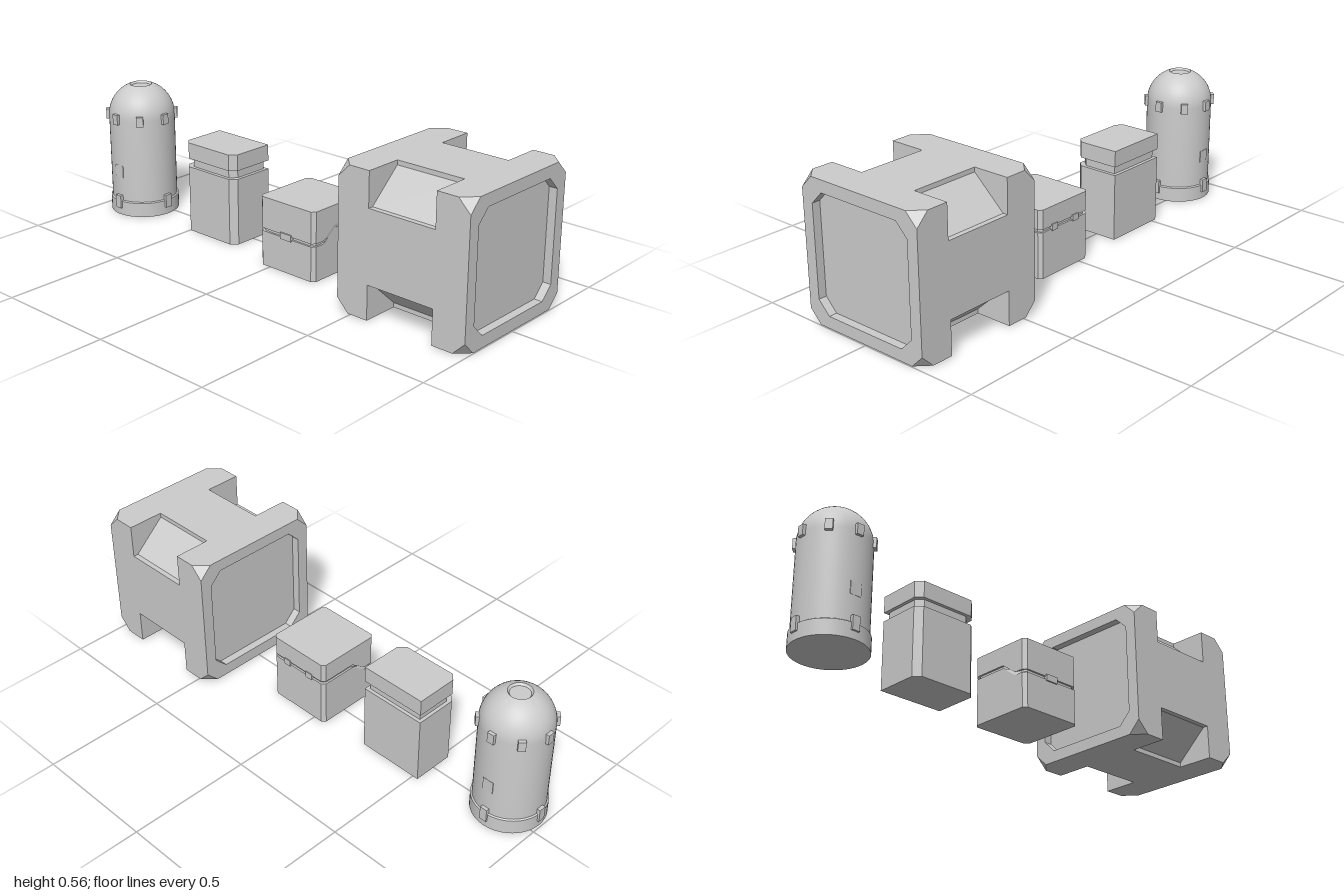
import * as THREE from 'three';
import { toCreasedNormals } from 'three/addons/utils/BufferGeometryUtils.js';

const grey = new THREE.MeshStandardMaterial({ color: 0xcccccc });

function add(parent, name, geometry, x = 0, y = 0, z = 0) {
  const mesh = new THREE.Mesh(geometry, grey);
  mesh.name = name;
  mesh.position.set(x, y, z);
  parent.add(mesh);
  return mesh;
}

function group(parent, name, x, y, z) {
  const g = new THREE.Group();
  g.name = name;
  g.position.set(x, y, z);
  parent.add(g);
  return g;
}

const shapeOf = (pts) => new THREE.Shape(pts.map(([x, y]) => new THREE.Vector2(x, y)));
const extrude = (shape, depth) => new THREE.ExtrudeGeometry(shape, { depth, bevelEnabled: false });

// Square outline with all four corners cut
const octagon = (h, c) => [[h, -h + c], [h, h - c], [h - c, h], [-h + c, h],
  [-h, h - c], [-h, -h + c], [-h + c, -h], [h - c, -h]];

// Upright prism from a footprint of [x, z] points
function prism(footprint, y0, y1) {
  const g = extrude(shapeOf(footprint.map(([x, z]) => [x, -z])), y1 - y0);
  g.rotateX(-Math.PI / 2);
  g.translate(0, y0, 0);
  return g;
}

// Domed canister with base ring, clips and label plates
function buildCanister(root) {
  const can = group(root, 'canister', -0.85, 0, 0.042);
  const profile = [[0, 0], [0.142, 0], [0.142, 0.06], [0.136, 0.064], [0.136, 0.412]];
  const r = 0.136, end = Math.acos(0.045 / r);
  for (let i = 1; i <= 12; i++) {
    const a = (end * i) / 12;
    profile.push([r * Math.cos(a), 0.412 + r * Math.sin(a)]);
  }
  profile.push([0.038, 0.532], [0, 0.532]);
  const lathe = new THREE.LatheGeometry(profile.map(([x, y]) => new THREE.Vector2(x, y)), 48);
  add(can, 'canisterBody', toCreasedNormals(lathe, 0.5));

  const around = (name, count, w, h, y, outer) => {
    for (let i = 0; i < count; i++) {
      const a = (i / count) * Math.PI * 2;
      const d = 0.03, c = outer - d / 2;
      const m = add(can, name, new THREE.BoxGeometry(w, h, d), Math.sin(a) * c, y, Math.cos(a) * c);
      m.rotation.y = a;
    }
  };
  around('upperClip', 8, 0.028, 0.042, 0.415, 0.147);
  around('lowerClip', 4, 0.03, 0.055, 0.058, 0.149);
  around('labelPlate', 2, 0.045, 0.05, 0.19, 0.1365);
}

// Box with a lid, a groove below the lid and cut front corners
function buildLiddedBox(root) {
  const box = group(root, 'liddedBox', -0.385, 0, 0.009);
  const footprint = (inset) => {
    const w = 0.138 - inset, d = 0.099 - inset, c = 0.025;
    return [[-w, -d], [-w, d - c], [-w + c, d], [w - c, d], [w, d - c], [w, -d]];
  };
  add(box, 'boxBody', prism(footprint(0), 0, 0.275));
  add(box, 'boxNeck', prism(footprint(0.014), 0.27, 0.315));
  add(box, 'boxLid', prism(footprint(0), 0.31, 0.376));
}

// Hinged case whose seam steps up toward the back
function buildHingedCase(root) {
  const box = group(root, 'hingedCase', 0.086, 0, 0.024);
  const h = 0.138, c = 0.014, z0 = 0.02, z1 = 0.085;
  const footprint = [[-h, -h + c], [-h, z0], [-h, z1], [-h, h - c], [-h + c, h], [h - c, h],
    [h, h - c], [h, z1], [h, z0], [h, -h + c], [h - c, -h], [-h + c, -h]];
  const seam = (z) => 0.141 + 0.048 * THREE.MathUtils.clamp((z1 - z) / (z1 - z0), 0, 1);
  const half = (y0, y1, seamY, offset) => {
    const g = prism(footprint, y0, y1);
    const p = g.attributes.position;
    for (let i = 0; i < p.count; i++) {
      if (Math.abs(p.getY(i) - seamY) < 1e-5) p.setY(i, seam(p.getZ(i)) + offset);
    }
    g.computeVertexNormals();
    return g;
  };
  add(box, 'caseBottom', half(0, 0.1, 0.1, 0));
  add(box, 'caseTop', half(0.2, 0.28, 0.2, 0.012));
  add(box, 'caseCore', prism(octagon(h - 0.008, c), 0.02, 0.26));
  add(box, 'latch', new THREE.BoxGeometry(0.055, 0.026, 0.02), 0, 0.148, h - 0.004);
  for (const s of [-1, 1]) {
    add(box, 'hinge', new THREE.BoxGeometry(0.032, 0.026, 0.02), s * 0.06, 0.195, -h + 0.006);
  }
}

// Large crate with cut corners, notched edges and sunken end panels
function buildCrate(root) {
  const crate = group(root, 'crate', 0.721, 0.282, 0);
  const h = 0.279, cut = 0.05, notch = 0.142;

  // Middle: slanted notches along the four long edges
  const corner = [[h, 0.143], [0.258, 0.143], [0.128, 0.261], [0.128, h]];
  const flip = (sx, sy) => corner.map(([x, y]) => [x * sx, y * sy]);
  const outline = [...flip(1, 1), ...flip(-1, 1).reverse(), ...flip(-1, -1), ...flip(1, -1).reverse()];
  const middle = extrude(shapeOf(outline), notch * 2);
  middle.translate(0, 0, -notch);
  middle.rotateY(Math.PI / 2);
  add(crate, 'crateMiddle', middle);

  for (const s of [1, -1]) {
    const end = group(crate, 'crateEnd', 0, 0, 0);
    end.rotation.y = (s * Math.PI) / 2;
    const depth = h - cut - notch;
    add(end, 'crateShoulder', new THREE.BoxGeometry(h * 2, h * 2, depth), 0, 0, notch + depth / 2);

    // Rim: cut corners at the face, widening to a full square behind
    const shape = shapeOf(octagon(h, cut));
    shape.holes.push(shapeOf(octagon(0.231, 0.05)));
    const rim = extrude(shape, cut);
    const p = rim.attributes.position;
    for (let i = 0; i < p.count; i++) {
      const x = p.getX(i), y = p.getY(i);
      if (p.getZ(i) < 1e-5 && Math.max(Math.abs(x), Math.abs(y)) > 0.25) {
        p.setXYZ(i, Math.sign(x) * h, Math.sign(y) * h, 0);
      }
    }
    rim.computeVertexNormals();
    add(end, 'crateRim', rim, 0, 0, h - cut);
    add(end, 'sunkenPanel', new THREE.BoxGeometry(0.47, 0.47, 0.03), 0, 0, h - 0.033 - 0.015);
  }
}

export function createModel() {
  const root = new THREE.Group();
  root.name = 'containerSet';
  buildCanister(root);
  buildLiddedBox(root);
  buildHingedCase(root);
  buildCrate(root);
  return root;
}
